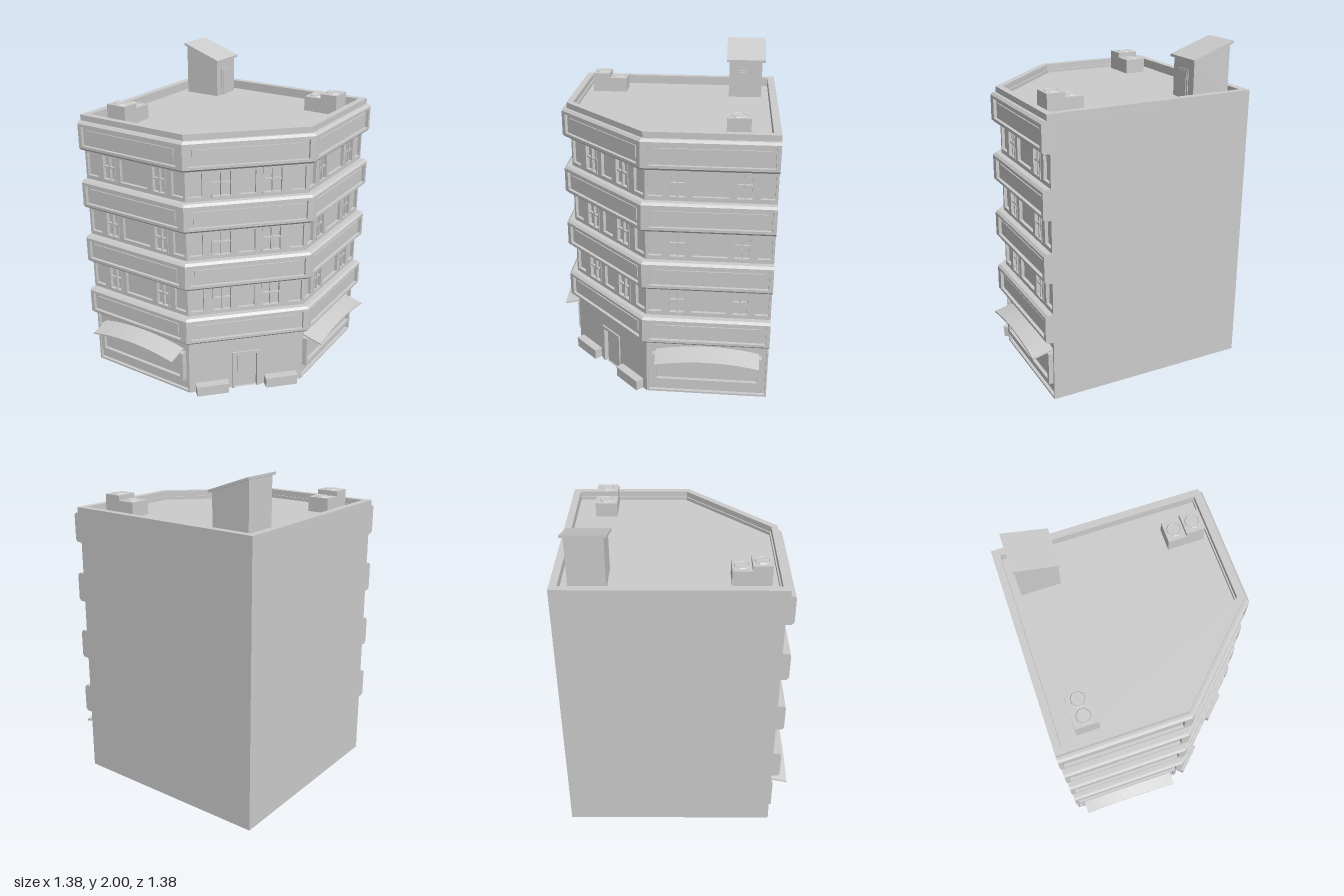
import * as THREE from 'three';

const MAT = new THREE.MeshStandardMaterial({ color: 0xcccccc, flatShading: true });
const BACK = -0.69, WALL = 0.577, CORNER = 0.058, MITRE = Math.tan(Math.PI / 8);
const RECESS = -0.02, STEP = 0.375;

function add(parent, name, geometry) {
  const mesh = new THREE.Mesh(geometry, MAT);
  mesh.name = name;
  parent.add(mesh);
  return mesh;
}

// Box given by its limits on each axis
function block(parent, name, x0, x1, y0, y1, z0, z1) {
  const mesh = add(parent, name, new THREE.BoxGeometry(x1 - x0, y1 - y0, z1 - z0));
  mesh.position.set((x0 + x1) / 2, (y0 + y1) / 2, (z0 + z1) / 2);
  return mesh;
}

const polygon = (pts) => new THREE.Shape(pts.map(([x, y]) => new THREE.Vector2(x, y)));
const rect = (x0, x1, y0, y1) => polygon([[x0, y0], [x1, y0], [x1, y1], [x0, y1]]);
const extrude = (shape, depth) => new THREE.ExtrudeGeometry(shape, { depth, bevelEnabled: false });

// Street line (front, cut corner, side) pushed outwards by d, as [x, z]
function streetLine(d) {
  const c = CORNER + d * MITRE, w = WALL + d;
  return [[BACK, w], [c, w], [w, c], [w, BACK]];
}

// Closed plan outline; inset moves the two rear walls inwards
function planShape(d, inset = 0) {
  const b = BACK + inset, line = streetLine(d);
  line[0][0] = b;
  line[3][1] = b;
  return polygon([...line, [b, b]].map(([x, z]) => [x, -z]));
}

function extrudePlan(shape, y0, y1) {
  return extrude(shape, y1 - y0).rotateX(-Math.PI / 2).translate(0, y0, 0);
}

// Sweep a closed (offset, height) profile along the street line, with end caps
function sweep(profile) {
  const pos = [];
  const at = (i, j) => {
    const [d, y] = profile[j % profile.length];
    const [x, z] = streetLine(d)[i];
    return [x, y, z];
  };
  for (let i = 0; i < 3; i++) {
    for (let j = 0; j < profile.length; j++) {
      const a = at(i, j), b = at(i + 1, j), c = at(i + 1, j + 1), d = at(i, j + 1);
      pos.push(...a, ...b, ...c, ...a, ...c, ...d);
    }
  }
  const outline = profile.map(([d, y]) => new THREE.Vector2(d, y));
  for (const [a, b, c] of THREE.ShapeUtils.triangulateShape(outline, [])) {
    pos.push(...at(0, a), ...at(0, b), ...at(0, c));
    pos.push(...at(3, c), ...at(3, b), ...at(3, a));
  }
  const g = new THREE.BufferGeometry();
  g.setAttribute('position', new THREE.Float32BufferAttribute(pos, 3));
  g.computeVertexNormals();
  return g;
}

// Wall skin with openings, each [x0, x1, y0, y1]
function wallSkin(face, width, y0, y1, openings) {
  const shape = rect(-width / 2, width / 2, y0, y1);
  for (const o of openings) shape.holes.push(rect(...o));
  add(face, 'wall', extrude(shape, -RECESS)).position.z = RECESS;
}

// Rectangular frame standing between two depths
function frame(parent, name, x0, x1, y0, y1, t, z0, z1) {
  const shape = rect(x0, x1, y0, y1);
  shape.holes.push(rect(x0 + t, x1 - t, y0 + t, y1 - t));
  add(parent, name, extrude(shape, z1 - z0)).position.z = z0;
}

function windowUnit(face, x, y0, y1, w) {
  const g = new THREE.Group();
  g.name = 'window';
  frame(g, 'windowFrame', x - w / 2, x + w / 2, y0, y1, 0.01, -0.025, 0.004);
  block(g, 'mullion', x - 0.005, x + 0.005, y0 + 0.01, y1 - 0.01, -0.025, -0.002);
  const m = y0 + (y1 - y0) * 0.52;
  block(g, 'transom', x - w / 2 + 0.01, x + w / 2 - 0.01, m - 0.005, m + 0.005, -0.025, -0.004);
  face.add(g);
}

// Storey between two bands: windows and sunken panels
function storey(face, f, y) {
  const openings = f.panels.map(([a, b]) => [a, b, y + 0.025, y + 0.17]);
  for (const s of [-1, 1]) {
    const x = s * f.windowX, h = f.windowW / 2;
    openings.push([x - h, x + h, y + 0.015, y + 0.185]);
    windowUnit(face, x, y + 0.015, y + 0.185, f.windowW);
  }
  wallSkin(face, f.width, y, y + 0.195, openings);
}

// End posts and raised field of a band panel
function bandPanel(face, f, y) {
  const y0 = y + 0.03, y1 = y + 0.15, e = f.panelHalf;
  block(face, 'bandPost', -f.width / 2 - f.mitreL, -e, y0, y1, 0, 0.048);
  block(face, 'bandPost', e, f.width / 2 + f.mitreR, y0, y1, 0, 0.048);
  block(face, 'bandField', -e + 0.027, e - 0.027, y0 + 0.022, y1 - 0.022, 0.02, 0.035);
}

// Shop window with moulded surround and arched sloping awning
function shopFront(face, f) {
  wallSkin(face, f.width, 0, 0.385, [[-0.362, 0.362, 0.012, 0.36]]);
  frame(face, 'shopWindowFrame', -0.337, 0.337, 0.085, 0.285, 0.025, -0.025, 0.018);
  block(face, 'shopWindowPane', -0.315, 0.315, 0.105, 0.265, -0.025, -0.004);

  const top = [], under = [], half = 0.317;
  for (let i = 0; i <= 12; i++) {
    const t = i / 6 - 1, y = 0.302 + 0.033 * (1 - t * t);
    top.unshift([t * half, y]);
    under.push([t * half, y - 0.009]);
  }
  const g = extrude(polygon([...under, ...top]), 0.128);
  g.translate(0, 0, RECESS);
  const p = g.attributes.position;
  for (let i = 0; i < p.count; i++) p.setY(i, p.getY(i) - Math.max(0, p.getZ(i)) * 0.28);
  g.computeVertexNormals();
  add(face, 'awning', g);
}

// Corner entrance with planters on each side
function entrance(face, f) {
  wallSkin(face, f.width, 0, 0.385, [[-0.07, 0.07, 0, 0.245]]);
  const surround = polygon([[-0.092, 0], [-0.07, 0], [-0.07, 0.245], [0.07, 0.245],
    [0.07, 0], [0.092, 0], [0.092, 0.265], [-0.092, 0.265]]);
  add(face, 'doorFrame', extrude(surround, 0.03)).position.z = RECESS;
  block(face, 'door', -0.055, 0.055, 0, 0.23, -0.025, -0.012);
  for (const s of [-1, 1]) {
    const x = s * 0.225;
    block(face, 'planter', x - 0.103, x + 0.103, 0, 0.06, -0.01, 0.052);
    block(face, 'planterRim', x - 0.106, x + 0.106, 0.06, 0.07, -0.01, 0.055);
  }
}

// One rooftop cooling unit with an eight-sided fan
function coolingUnit(parent, x, z, w, d, top) {
  const g = new THREE.Group();
  g.name = 'coolingUnit';
  block(g, 'unitCase', x - w / 2, x + w / 2, 1.66, top - 0.005, z - d / 2, z + d / 2);
  const ring = add(g, 'fanRing', new THREE.TorusGeometry(0.041, 0.005, 4, 8));
  ring.rotation.set(-Math.PI / 2, 0, Math.PI / 8);
  ring.position.set(x, top - 0.005, z);
  const fan = add(g, 'fan', new THREE.CylinderGeometry(0.038, 0.038, 0.006, 8));
  fan.rotation.y = Math.PI / 8;
  fan.position.set(x, top - 0.005, z);
  parent.add(g);
}

function roofHut(parent) {
  const g = new THREE.Group();
  g.name = 'roofHut';
  const body = polygon([[-0.6, 1.66], [-0.36, 1.66], [-0.36, 1.9], [-0.6, 1.988]]);
  add(g, 'hutWalls', extrude(body, 0.21)).position.z = -0.598;
  const cover = polygon([[-0.61, 1.985], [-0.345, 1.893], [-0.345, 1.908], [-0.61, 2]]);
  add(g, 'hutRoof', extrude(cover, 0.248)).position.z = -0.618;
  block(g, 'hutDoorFrame', -0.365, -0.355, 1.665, 1.84, -0.543, -0.437);
  block(g, 'hutDoor', -0.365, -0.351, 1.665, 1.828, -0.53, -0.45);
  parent.add(g);
}

export function createModel() {
  const model = new THREE.Group();
  model.name = 'cornerBuilding';
  add(model, 'buildingCore', extrudePlan(planShape(RECESS), 0, 1.665));
  const parapet = planShape(0.018);
  parapet.holes.push(planShape(-0.022, 0.044));
  add(model, 'parapet', extrudePlan(parapet, 1.66, 1.72));

  // Projecting bands with bevelled rails and a sunken middle
  for (let i = 0; i < 4; i++) {
    const a = 0.38 + i * STEP, b = a + 0.18;
    add(model, 'band', sweep([[-0.03, a], [0.034, a], [0.048, a + 0.014], [0.048, a + 0.03],
      [0.028, a + 0.03], [0.028, b - 0.03], [0.048, b - 0.03], [0.048, b - 0.014],
      [0.034, b], [-0.03, b]]));
  }

  // The three street faces, each in its own frame with z pointing outwards
  const m = 0.048 * MITRE, mid = (BACK + CORNER) / 2, cut = (WALL + CORNER) / 2;
  const straight = {
    width: CORNER - BACK, windowX: 0.188, windowW: 0.105, panelHalf: 0.349, ground: shopFront,
    panels: [[-0.359, -0.279], [-0.103, 0.103], [0.279, 0.359]],
  };
  const faces = [
    { ...straight, name: 'frontFace', x: mid, z: WALL, turn: 0, mitreL: 0, mitreR: m },
    { ...straight, name: 'sideFace', x: WALL, z: mid, turn: Math.PI / 2, mitreL: m, mitreR: 0 },
    {
      name: 'cornerFace', x: cut, z: cut, turn: Math.PI / 4, mitreL: m, mitreR: m,
      width: (WALL - CORNER) * Math.SQRT2, windowX: 0.153, windowW: 0.125, panelHalf: 0.355,
      ground: entrance, panels: [[-0.352, -0.268], [-0.05, 0.05], [0.268, 0.352]],
    },
  ];
  for (const f of faces) {
    const face = new THREE.Group();
    face.name = f.name;
    face.position.set(f.x, 0, f.z);
    face.rotation.y = f.turn;
    f.ground(face, f);
    for (let i = 0; i < 4; i++) bandPanel(face, f, 0.38 + i * STEP);
    for (let i = 0; i < 3; i++) storey(face, f, 0.56 + i * STEP);
    model.add(face);
  }

  // Rooftop
  roofHut(model);
  [[0.355, 1.76], [0.465, 1.79]].forEach(([p, top]) => {
    coolingUnit(model, p, -0.458, 0.11, 0.135, top);
    coolingUnit(model, -0.483, p - 0.011, 0.135, 0.11, top);
  });
  return model;
}
